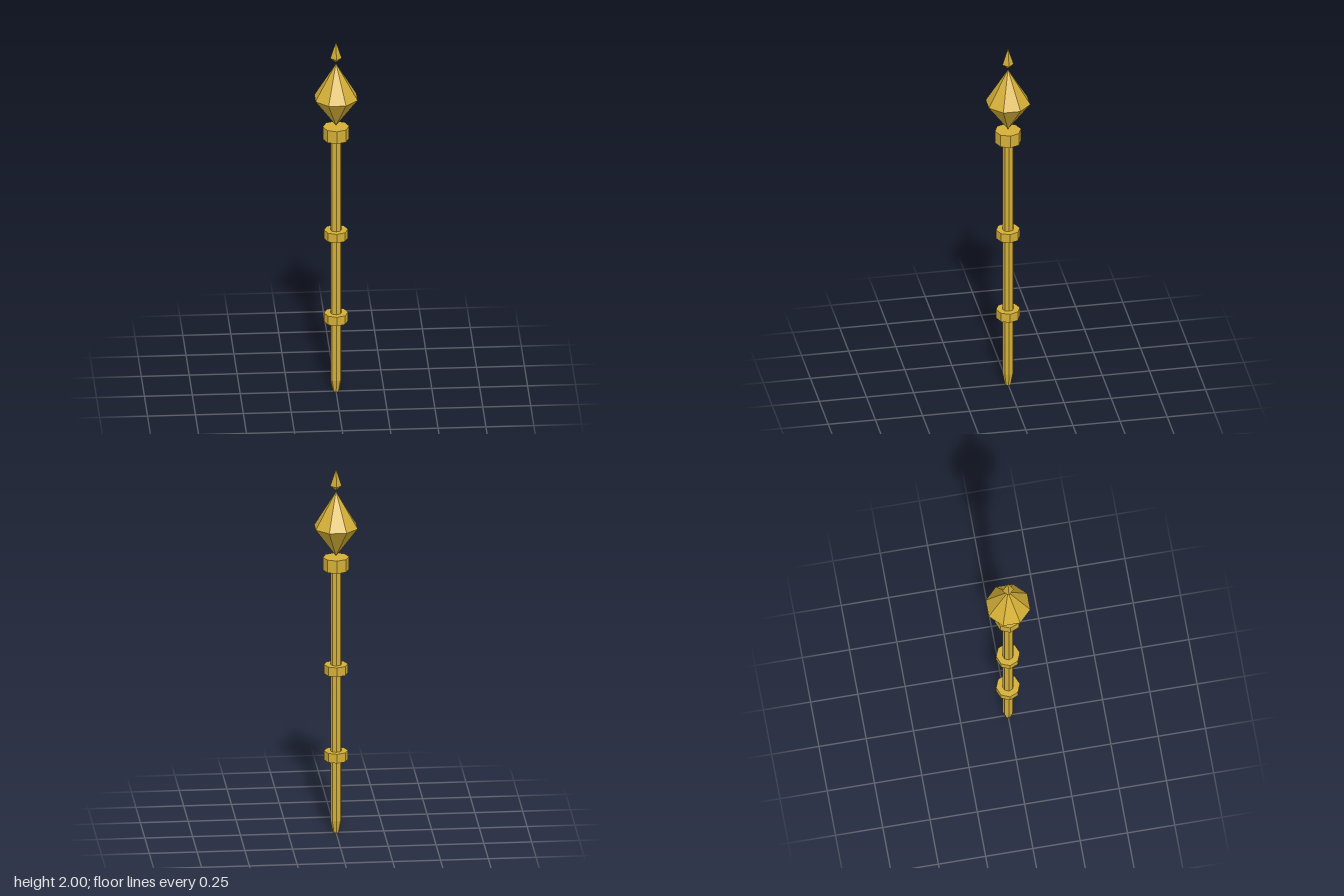
import * as THREE from 'three';

const gold = new THREE.MeshStandardMaterial({ color: 0xd4af37, flatShading: true });

// Faceted solid of revolution from [radius, height] points, bottom to top
function turned(name, points, sides, turn = 0) {
  const profile = points.map(([r, y]) => new THREE.Vector2(r, y));
  const mesh = new THREE.Mesh(new THREE.LatheGeometry(profile, sides, turn), gold);
  mesh.name = name;
  return mesh;
}

// Closed octagonal prism between two heights
const band = (name, r, y0, y1) =>
  turned(name, [[0, y0], [r, y0], [r, y1], [0, y1]], 8);

export function createModel() {
  const staff = new THREE.Group();
  staff.name = 'staff';

  // Shaft with a tapered foot
  staff.add(turned('shaft', [[0, 0], [0.016, 0], [0.03, 0.07], [0.03, 1.45], [0, 1.45]], 8));

  // Grip rings and the collar under the head
  staff.add(band('lowerRing', 0.063, 0.4, 0.45));
  staff.add(band('upperRing', 0.063, 0.875, 0.925));
  staff.add(band('collar', 0.069, 1.445, 1.515));

  // Floating eight-sided gem, flat face to the front
  staff.add(turned('gem', [[0, 1.52], [0.119, 1.68], [0, 1.875]], 8, Math.PI / 8));

  // Small four-sided spike above the gem
  staff.add(turned('tipSpike', [[0, 1.88], [0.03, 1.905], [0, 2]], 4));

  return staff;
}
